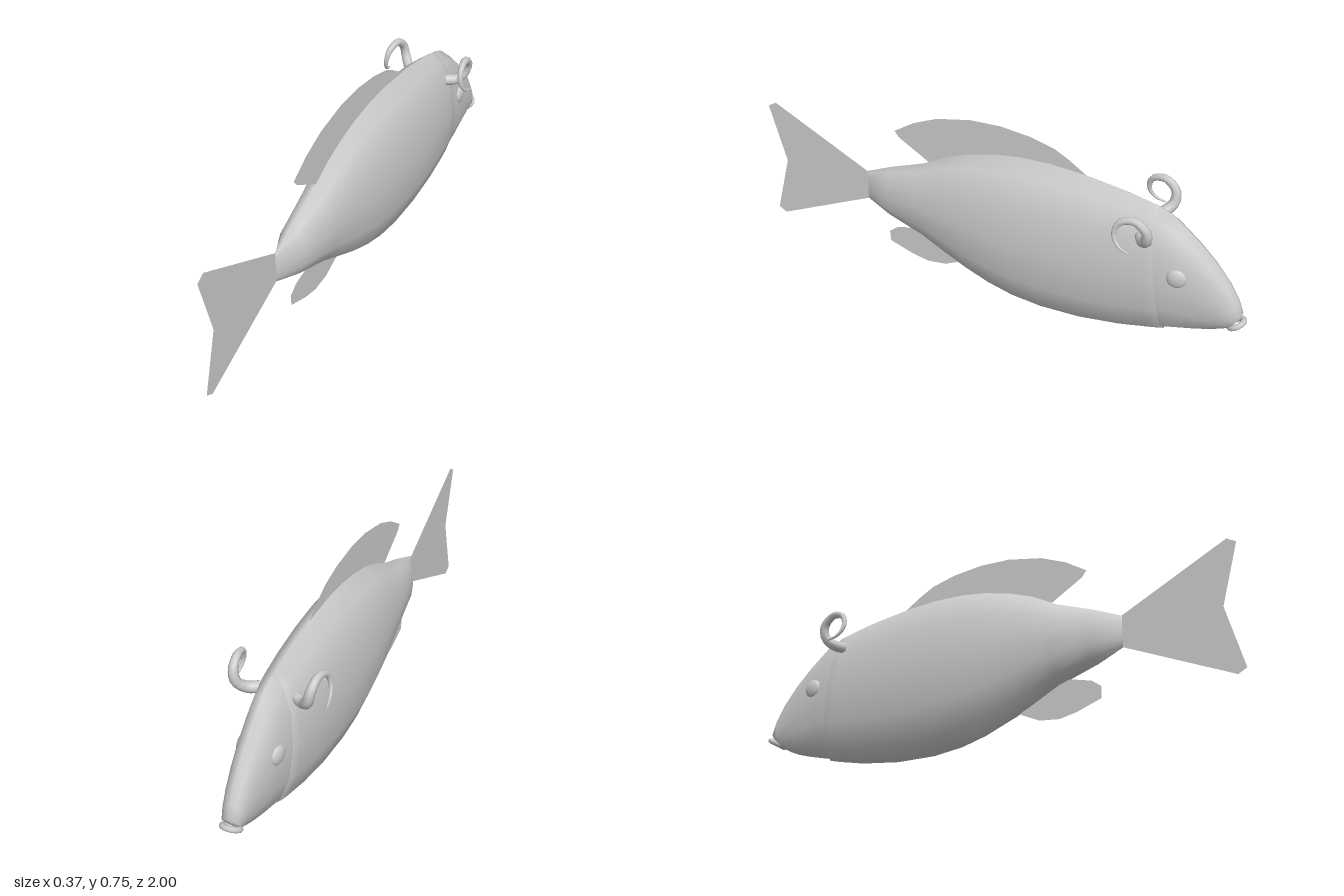
import * as THREE from 'three';

const material = new THREE.MeshStandardMaterial({ color: 0xcccccc });
const thin = new THREE.MeshStandardMaterial({ color: 0xcccccc, side: THREE.DoubleSide });
const SIDES = 12;

function add(group, name, geometry, mat = material) {
  const mesh = new THREE.Mesh(geometry, mat);
  mesh.name = name;
  group.add(mesh);
  return mesh;
}

// Skin over elliptical rings, each [top z, top y, bottom z, bottom y, half width], from tail to head
function loft(rings) {
  const pos = [], index = [];
  rings.forEach(([zt, yt, zb, yb, w], r) => {
    for (let i = 0; i < SIDES; i++) {
      const a = (i / SIDES) * Math.PI * 2, t = (1 - Math.cos(a)) / 2;
      pos.push(w * Math.sin(a), yt + (yb - yt) * t, zt + (zb - zt) * t);
      if (r === rings.length - 1) continue;
      const p = r * SIDES + i, q = r * SIDES + (i + 1) % SIDES;
      index.push(p, q, p + SIDES, q, q + SIDES, p + SIDES);
    }
  });
  const g = new THREE.BufferGeometry();
  g.setAttribute('position', new THREE.Float32BufferAttribute(pos, 3));
  g.setIndex(index);
  g.computeVertexNormals();
  return g;
}

// Flat fin in the middle plane from [z, y] points
function fin(points) {
  const shape = new THREE.Shape(points.map(([z, y]) => new THREE.Vector2(-z, y)));
  return new THREE.ShapeGeometry(shape).rotateY(Math.PI / 2);
}

// Tube whose radius shrinks towards its tip
function taperedTube(points, r0, r1) {
  const curve = new THREE.CatmullRomCurve3(points);
  const segs = 24, radial = 8;
  const g = new THREE.TubeGeometry(curve, segs, 1, radial);
  const p = g.attributes.position, v = new THREE.Vector3();
  for (let i = 0; i < p.count; i++) {
    const t = Math.floor(i / (radial + 1)) / segs, c = curve.getPointAt(t);
    v.fromBufferAttribute(p, i).sub(c).multiplyScalar(r0 + (r1 - r0) * t ** 1.4).add(c);
    p.setXYZ(i, v.x, v.y, v.z);
  }
  return g;
}

export function createModel() {
  const fish = new THREE.Group();
  fish.name = 'hornedFish';

  // Trunk, pinched to an upright edge at the tail
  add(fish, 'body', loft([
    [0.557, 0.39, 0.557, 0.265, 0.001],
    [0.45, 0.44, 0.45, 0.222, 0.054],
    [0.3, 0.5, 0.3, 0.175, 0.078],
    [0.2, 0.557, 0.2, 0.125, 0.092],
    [0.1, 0.597, 0.1, 0.078, 0.104],
    [0, 0.624, 0, 0.04, 0.112],
    [-0.1, 0.641, -0.1, 0.015, 0.117],
    [-0.22, 0.648, -0.22, 0.003, 0.118],
    [-0.36, 0.641, -0.38, 0.009, 0.114],
    [-0.5, 0.624, -0.54, 0.033, 0.104],
    [-0.6, 0.606, -0.65, 0.06, 0.093],
    [-0.64, 0.597, -0.695, 0.073, 0.088],
    [-0.64, 0.585, -0.695, 0.09, 0.078],
  ]));

  // Head, slightly narrower than the gill edge, closing behind the lips
  add(fish, 'head', loft([
    [-0.6, 0.603, -0.64, 0.068, 0.087],
    [-0.65, 0.593, -0.7, 0.082, 0.083],
    [-0.7, 0.571, -0.74, 0.093, 0.077],
    [-0.79, 0.498, -0.8, 0.11, 0.067],
    [-0.86, 0.432, -0.85, 0.127, 0.057],
    [-0.92, 0.359, -0.89, 0.145, 0.048],
    [-0.96, 0.294, -0.915, 0.16, 0.041],
    [-0.98, 0.24, -0.93, 0.17, 0.036],
    [-0.965, 0.21, -0.955, 0.195, 0.001],
  ]));

  // Lips: an oval ring tilted forward
  const lips = add(fish, 'lips', new THREE.TorusGeometry(0.03, 0.012, 8, 20));
  lips.scale.set(1, 0.95, 0.9);
  lips.rotation.x = Math.PI / 2 + 0.54;
  lips.position.set(0, 0.194, -0.962);

  // Fins
  add(fish, 'dorsalFin', fin([
    [-0.38, 0.63], [-0.29, 0.687], [-0.235, 0.715], [-0.14, 0.738], [-0.02, 0.749], [0.1, 0.742],
    [0.24, 0.71], [0.34, 0.665], [0.425, 0.608], [0.405, 0.583], [0.27, 0.505], [0, 0.52],
  ]), thin);
  add(fish, 'analFin', fin([
    [0.14, 0.095], [0.22, 0.055], [0.3, 0.045], [0.37, 0.058], [0.465, 0.09],
    [0.468, 0.135], [0.43, 0.165], [0.34, 0.19], [0.2, 0.2],
  ]), thin);
  add(fish, 'tailFin', fin([
    [0.54, 0.385], [0.557, 0.39], [0.965, 0.588], [1, 0.567], [0.935, 0.33],
    [1, 0.088], [0.967, 0.07], [0.557, 0.265], [0.54, 0.27],
  ]), thin);

  // Eyes and curled horns on both sides
  for (const [side, s] of [['left', 1], ['right', -1]]) {
    const eye = add(fish, side + 'Eye', new THREE.SphereGeometry(0.037, 16, 12));
    eye.scale.x = 0.42;
    eye.position.set(s * 0.068, 0.362, -0.747);
    eye.rotation.y = s * 0.14;

    const path = [
      [0.07, 0.505, -0.605], [0.105, 0.507, -0.625], [0.132, 0.535, -0.65], [0.144, 0.58, -0.648],
      [0.15, 0.613, -0.605], [0.158, 0.595, -0.553], [0.166, 0.545, -0.541],
      [0.174, 0.508, -0.565], [0.18, 0.495, -0.602],
    ].map(([x, y, z]) => new THREE.Vector3(s * x, y, z));
    add(fish, side + 'Horn', taperedTube(path, 0.022, 0.003));
  }
  return fish;
}
